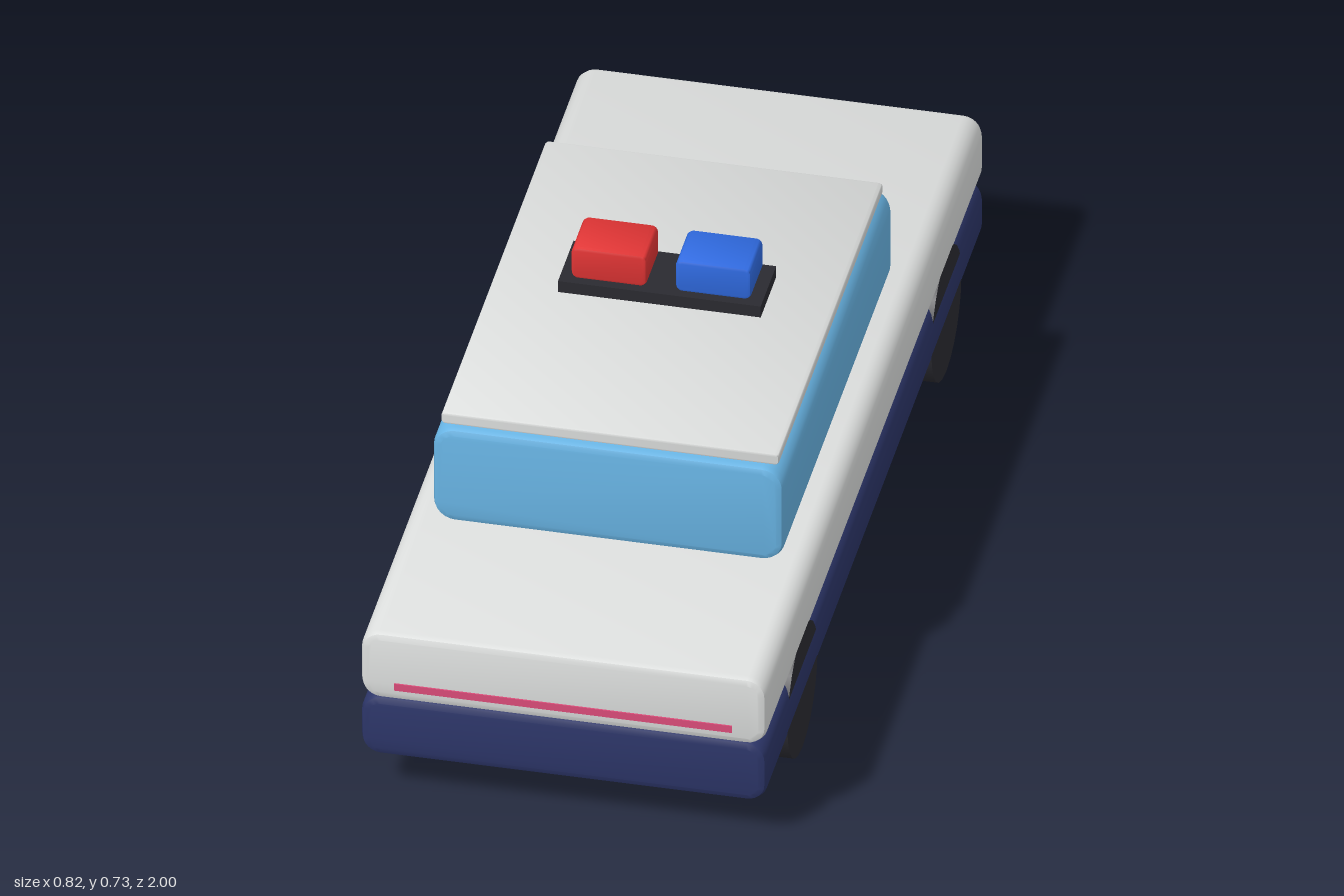
import * as THREE from 'three';
import { toCreasedNormals } from 'three/addons/utils/BufferGeometryUtils.js';

const paint = (name, color) => {
  const material = new THREE.MeshStandardMaterial({ color });
  material.name = name;
  return material;
};

// Rounded cross-section in x/y, extruded along z with softly bevelled ends
function softBlock(name, material, [x0, x1], [y0, y1], [z0, z1], radius, bevel) {
  const w = (x1 - x0) / 2 - bevel, h = (y1 - y0) / 2 - bevel, r = radius - bevel;
  const s = new THREE.Shape();
  s.absarc(w - r, h - r, r, 0, Math.PI / 2);
  s.absarc(r - w, h - r, r, Math.PI / 2, Math.PI);
  s.absarc(r - w, r - h, r, Math.PI, Math.PI * 1.5);
  s.absarc(w - r, r - h, r, Math.PI * 1.5, Math.PI * 2);
  const geometry = new THREE.ExtrudeGeometry(s, {
    depth: z1 - z0 - 2 * bevel, curveSegments: 3, steps: 1,
    bevelEnabled: true, bevelSize: bevel, bevelThickness: bevel, bevelSegments: 2,
  });
  geometry.center();
  const mesh = new THREE.Mesh(toCreasedNormals(geometry, 0.7), material);
  mesh.name = name;
  mesh.position.set((x0 + x1) / 2, (y0 + y1) / 2, (z0 + z1) / 2);
  return mesh;
}

function box(name, material, size, position) {
  const mesh = new THREE.Mesh(new THREE.BoxGeometry(...size), material);
  mesh.name = name;
  mesh.position.set(...position);
  return mesh;
}

export function createModel() {
  const car = new THREE.Group();
  car.name = 'patrolCar';

  const white = paint('white body', 0xdcdedd);
  const navy = paint('navy base', 0x2c3568);
  const glass = paint('blue glass', 0x68b4e4);
  const dark = paint('dark rubber', 0x2a2a30);
  const red = paint('red light', 0xe03434);
  const blue = paint('blue light', 0x2f6ae0);
  const pink = paint('pink strip', 0xdc4c7a);
  const yellow = paint('yellow strip', 0xd6c23e);

  // Body layers, cabin and roof
  car.add(
    softBlock('lowerBody', navy, [-0.408, 0.408], [0.093, 0.232], [-0.997, 0.997], 0.04, 0.015),
    softBlock('upperBody', white, [-0.408, 0.408], [0.228, 0.384], [-0.997, 0.997], 0.04, 0.015),
    softBlock('cabin', glass, [-0.353, 0.353], [0.382, 0.602], [-0.408, 0.588], 0.045, 0.014),
    softBlock('roof', white, [-0.34, 0.34], [0.602, 0.628], [-0.388, 0.57], 0.009, 0.005),
  );

  // Roof light bar
  car.add(
    box('lightBarBase', dark, [0.408, 0.027, 0.142], [0, 0.6405, 0.045]),
    softBlock('redLight', red, [-0.181, -0.029], [0.655, 0.728], [-0.012, 0.102], 0.014, 0.007),
    softBlock('blueLight', blue, [0.029, 0.181], [0.655, 0.728], [-0.012, 0.102], 0.014, 0.007),
  );

  // Thin light strips across both ends
  car.add(
    box('frontStrip', pink, [0.68, 0.016, 0.005], [0, 0.263, 0.9975]),
    box('rearStrip', yellow, [0.68, 0.016, 0.005], [0, 0.263, -0.9975]),
  );

  // Wheels, flush with the body sides
  const wheelGeometry = new THREE.CylinderGeometry(0.138, 0.138, 0.117, 24);
  wheelGeometry.rotateZ(Math.PI / 2);
  for (const x of [-1, 1]) {
    for (const z of [-1, 1]) {
      const wheel = new THREE.Mesh(wheelGeometry, dark);
      wheel.name = (z > 0 ? 'front' : 'rear') + (x > 0 ? 'Left' : 'Right') + 'Wheel';
      wheel.position.set(x * 0.349, 0.138, z * 0.66);
      car.add(wheel);
    }
  }
  return car;
}
